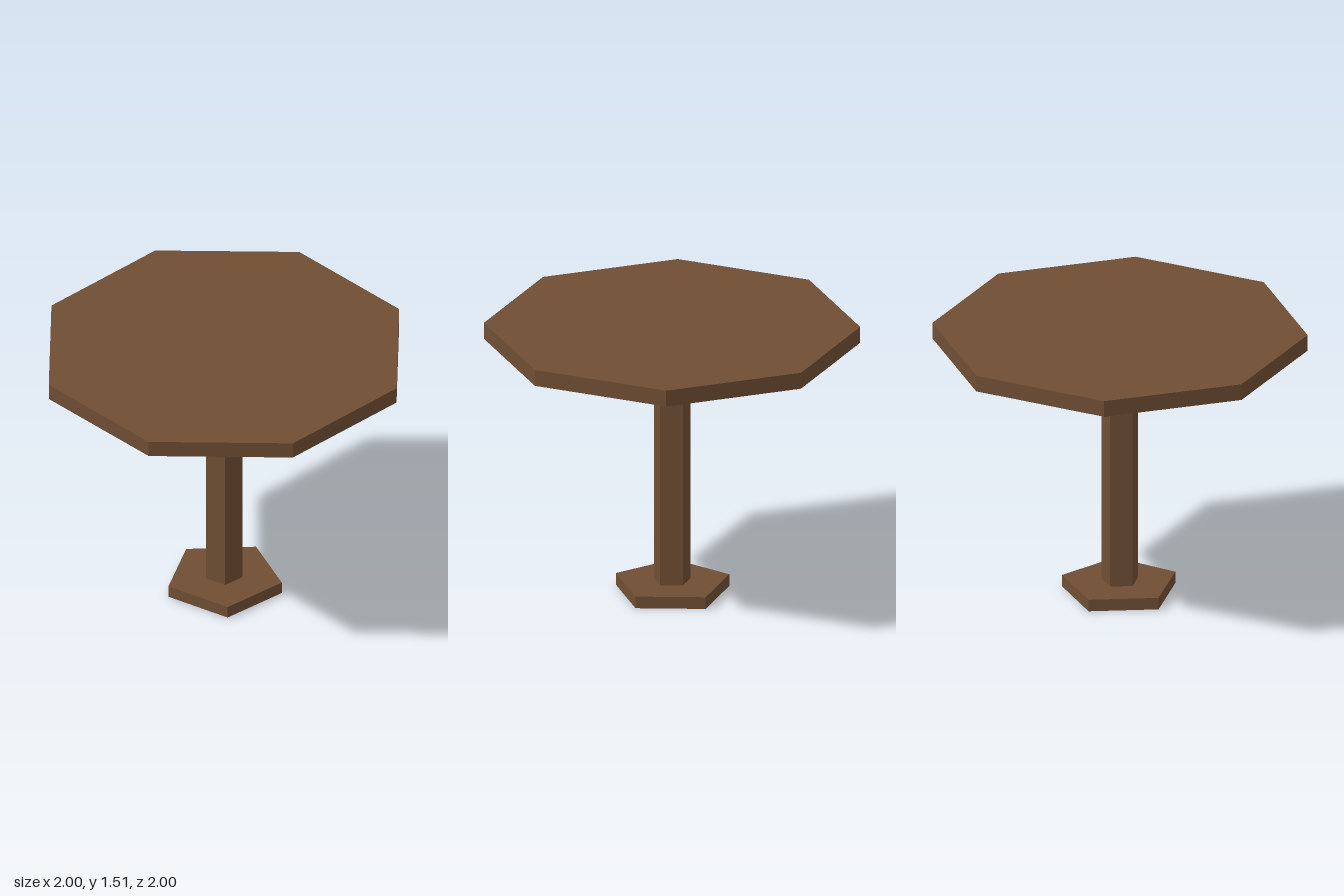
import * as THREE from 'three';

export function createModel() {
  const group = new THREE.Group();
  const wood = new THREE.MeshStandardMaterial({ color: 0x6f4e34, flatShading: true });
  wood.name = 'brown wood';

  // Upright prism from y0 to y1 with one corner pointing to -x
  const prism = (name, radius, sides, y0, y1) => {
    const geometry = new THREE.CylinderGeometry(radius, radius, y1 - y0, sides, 1, false, -Math.PI / 2);
    const mesh = new THREE.Mesh(geometry, wood);
    mesh.name = name;
    mesh.position.y = (y0 + y1) / 2;
    group.add(mesh);
  };

  prism('foot', 0.317, 5, 0, 0.066);
  prism('post', 0.102, 5, 0.066, 1.423);
  prism('tableTop', 1, 8, 1.423, 1.513);

  group.name = 'table';
  return group;
}
